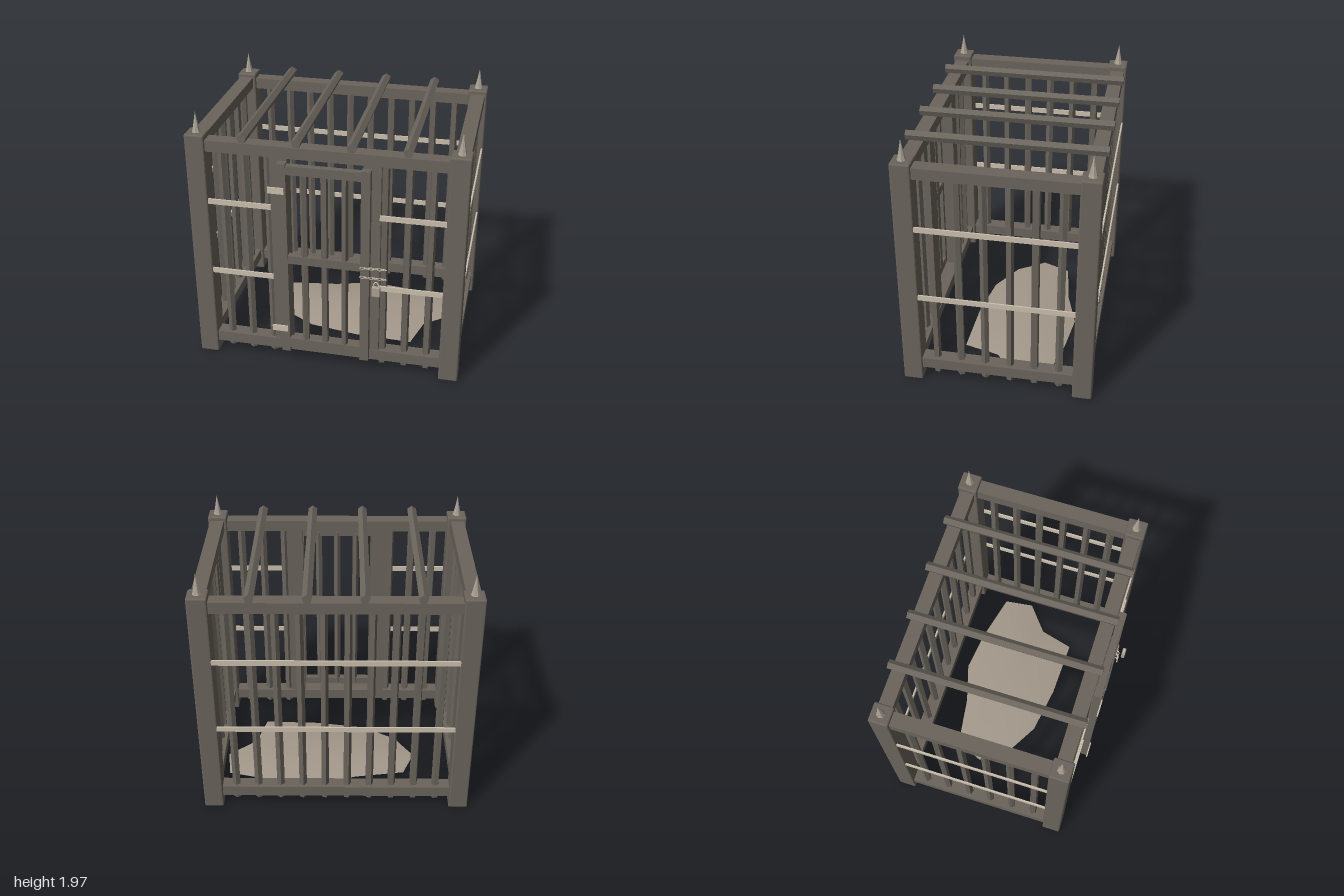
import * as THREE from 'three';
import { RoundedBoxGeometry } from 'three/addons/geometries/RoundedBoxGeometry.js';

export function createModel() {
  const model = new THREE.Group();
  const mat = (name, color, extra = {}) => {
    const m = new THREE.MeshStandardMaterial({ color, ...extra });
    m.name = name;
    return m;
  };
  const wood = mat('dark weathered wood', 0x6a645c, { flatShading: true });
  const metal = mat('pale metal', 0xcbc0ae, { flatShading: true });
  const steel = mat('dull steel', 0xaba294, { flatShading: true });
  const cloth = mat('straw cloth', 0xa3988a, { side: THREE.DoubleSide });

  const add = (name, geo, material, x, y, z, parent = model) => {
    const m = new THREE.Mesh(geo, material);
    m.name = name;
    m.position.set(x, y, z);
    parent.add(m);
    return m;
  };
  // Box given by its limits on each axis
  const box = (name, material, [x0, x1], [y0, y1], [z0, z1], parent) =>
    add(name, new THREE.BoxGeometry(x1 - x0, y1 - y0, z1 - z0), material,
      (x0 + x1) / 2, (y0 + y1) / 2, (z0 + z1) / 2, parent);
  // Upright five-sided bar
  const bar = (name, x, z, y0 = 0.065, y1 = 1.75, r = 0.03, parent = model) => {
    const b = add(name, new THREE.CylinderGeometry(r, r, y1 - y0, 5), wood, x, (y0 + y1) / 2, z, parent);
    b.rotation.y = x * 7 + z * 5;
    return b;
  };

  const front = 0.575, back = -0.682, mid = -0.053;

  // Corner posts with spikes
  for (const x of [-0.925, 0.925]) {
    for (const z of [front, back]) {
      add('cornerPost', new RoundedBoxGeometry(0.143, 1.82, 0.143, 2, 0.012), wood, x, 0.92, z);
      const profile = [[0.033, 0], [0.027, 0.02], [0.014, 0.08], [0, 0.155]].map(p => new THREE.Vector2(...p));
      add('postSpike', new THREE.LatheGeometry(profile, 7), steel, x, 1.828, z);
    }
  }

  // Rails, bars and metal bands of the front and back walls
  for (const z of [front, back]) {
    for (const y of [0.105, 1.706]) box('longRail', wood, [-0.86, 0.86], [y, y + 0.084], [z - 0.051, z + 0.051]);
    const out = z === front ? z + 0.057 : z - 0.064;
    for (const y of [0.728, 1.302]) {
      const spans = z === front ? [[-0.86, -0.39], [0.39, 0.86]] : [[-0.86, 0.86]];
      for (const s of spans) box('longBand', metal, s, [y, y + 0.04], [out - 0.006, out + 0.006]);
    }
    for (let i = 0; i < 10; i++) {
      const x = -0.75 + i * 0.1667;
      if (z === back || Math.abs(x) > 0.38) bar('wallBar', x, z);
    }
  }

  // Rails, bars and metal bands of the two side walls
  for (const s of [-1, 1]) {
    for (const y of [0.118, 1.717]) {
      const r = add('sideRail', new THREE.BoxGeometry(0.104, 0.084, 1.13), wood, s * 0.927, y + 0.042, mid);
      r.rotation.y = 0;
    }
    for (const y of [0.742, 1.312]) add('sideBand', new THREE.BoxGeometry(0.012, 0.04, 1.12), metal, s * 0.986, y + 0.02, mid);
    for (let i = 0; i < 6; i++) bar('sideBar', s * 0.927, 0.4 - i * 0.181);
  }

  // Roof bars, five-sided with a ridge on top
  for (let i = 0; i < 4; i++) {
    const b = add('roofBar', new THREE.CylinderGeometry(0.036, 0.036, 1.4, 5), wood, -0.58 + i * 0.385, 1.832, -0.055);
    b.rotation.x = -Math.PI / 2;
  }

  // Door jambs
  for (const s of [-1, 1])
    add('doorJamb', new THREE.BoxGeometry(0.125, 1.53, 0.09), wood, s * 0.3325, 0.948, front);

  // Door
  const door = new THREE.Group();
  door.name = 'door';
  model.add(door);
  for (const s of [-1, 1])
    add('doorStile', new THREE.BoxGeometry(0.065, 1.56, 0.055), wood, s * 0.297, 0.91, 0.657, door);
  for (const [y0, y1] of [[0.165, 0.243], [0.9, 0.965], [1.61, 1.677]])
    box('doorRail', wood, [-0.27, 0.27], [y0, y1], [0.632, 0.68], door);
  for (const x of [-0.145, 0, 0.145]) bar('doorBar', x, 0.652, 0.2, 1.64, 0.027, door);
  for (const y of [0.312, 1.462])
    box('hinge', metal, [-0.395, -0.278], [y, y + 0.048], [0.684, 0.694], door);

  // Two short chains of alternating oval links
  const lock = new THREE.Group();
  lock.name = 'chainAndPadlock';
  model.add(lock);
  const chain = (a, b) => {
    const dir = b.clone().sub(a).normalize();
    const aim = new THREE.Quaternion().setFromUnitVectors(new THREE.Vector3(1, 0, 0), dir);
    for (let i = 0; i < 6; i++) {
      const geo = new THREE.TorusGeometry(0.012, 0.0035, 4, 8);
      geo.scale(1.6, 1, 1);
      geo.rotateX(i % 2 ? 1.35 : 0.25);
      const p = a.clone().lerp(b, i / 5);
      add('chainLink', geo, metal, p.x, p.y, p.z, lock).quaternion.copy(aim);
    }
  };
  chain(new THREE.Vector3(0.285, 0.945, 0.702), new THREE.Vector3(0.43, 0.922, 0.66));
  chain(new THREE.Vector3(0.285, 0.87, 0.702), new THREE.Vector3(0.43, 0.842, 0.66));

  // Padlock
  add('padlockBody', new RoundedBoxGeometry(0.06, 0.08, 0.028, 1, 0.006), steel, 0.39, 0.785, 0.738, lock);
  const arch = new THREE.CatmullRomCurve3([[-0.017, 0], [-0.017, 0.025], [0, 0.043], [0.017, 0.025], [0.017, 0]]
    .map(([x, y]) => new THREE.Vector3(x, y, 0)));
  add('padlockShackle', new THREE.TubeGeometry(arch, 10, 0.005, 5), metal, 0.39, 0.82, 0.738, lock);

  // Low domed floor cloth, made of shrinking rings of its outline
  const outline = [[-0.62, -0.17], [-0.53, -0.385], [-0.15, -0.44], [0.15, -0.53], [0.47, -0.49], [0.84, -0.4],
    [0.87, -0.17], [0.66, 0], [0.59, 0.265], [0.15, 0.25], [-0.22, 0.19], [-0.48, 0.04], [-0.55, -0.07]];
  const n = outline.length, rings = 5, cx = 0.16, cz = -0.13;
  const pos = [], idx = [];
  for (let k = 0; k < rings; k++) {
    const s = 1 - k / rings;
    for (const [x, z] of outline) pos.push(cx + (x - cx) * s, 0.042 + 0.042 * (1 - s * s), cz + (z - cz) * s);
  }
  pos.push(cx, 0.084, cz);
  for (let k = 0; k < rings; k++) {
    for (let i = 0; i < n; i++) {
      const j = (i + 1) % n, a = k * n + i, b = k * n + j;
      if (k === rings - 1) idx.push(a, rings * n, b);
      else idx.push(a, a + n, b, b, a + n, b + n);
    }
  }
  // Outline runs clockwise from above, so flip each face to look up
  for (let i = 0; i < idx.length; i += 3) [idx[i + 1], idx[i + 2]] = [idx[i + 2], idx[i + 1]];
  const g = new THREE.BufferGeometry();
  g.setAttribute('position', new THREE.Float32BufferAttribute(pos, 3));
  g.setIndex(idx);
  // Normals must point up: check the first one and reverse the winding if needed
  g.computeVertexNormals();
  if (g.attributes.normal.getY(rings * n) < 0) {
    g.setIndex(idx.reverse());
    g.computeVertexNormals();
  }
  add('floorCloth', g, cloth, 0, 0, 0);

  return model;
}
